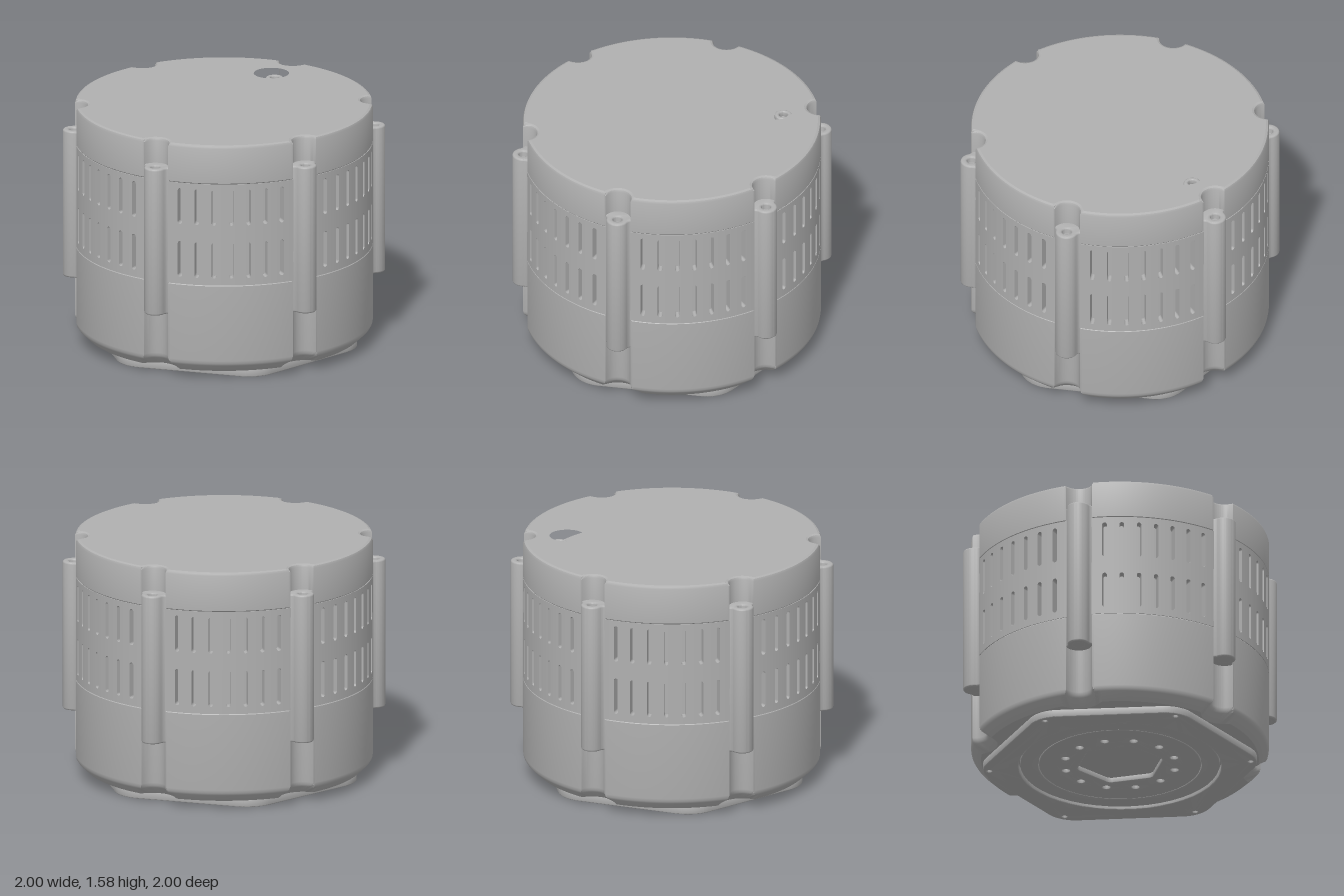
import * as THREE from 'three';
import { toCreasedNormals } from 'three/addons/utils/BufferGeometryUtils.js';

const R = 0.955;            // housing radius
const LOBE_R = 0.963;       // bolt circle radius
const DEG = Math.PI / 180;
const STEP = 60 * DEG;

// Notched housing outline, inset by o, as [x, z] points
function outline(o) {
  const alphas = [];
  for (let a = -30; a < -10; a += 2) alphas.push(a);
  for (let a = -10; a < 10; a += 0.4) alphas.push(a);
  for (let a = 10; a < 30; a += 2) alphas.push(a);
  const pts = [];
  for (let k = 0; k < 6; k++) {
    for (const deg of alphas) {
      const a = deg * DEG, s = LOBE_R * Math.sin(a), rho = 0.085 + o;
      let r = R - o;
      if (Math.abs(s) < rho) {
        const n = LOBE_R * Math.cos(a) - Math.sqrt(rho * rho - s * s);
        const h = Math.max(0.03 - Math.abs(r - n), 0) / 0.03;
        r = Math.min(r, n) - h * h * 0.03 / 4;
      }
      const phi = a + 45 * DEG + k * STEP;
      pts.push(new THREE.Vector2(r * Math.sin(phi), r * Math.cos(phi)));
    }
  }
  return pts;
}

// Housing wall lofted through [inset, y] rows
function wall(rows) {
  const pos = [], idx = [];
  let n = 0;
  rows.forEach(([o, y]) => {
    const pts = outline(o);
    n = pts.length;
    pts.forEach(p => pos.push(p.x, y, p.y));
  });
  for (let j = 0; j < rows.length - 1; j++) {
    for (let i = 0; i < n; i++) {
      const a = j * n + i, b = j * n + (i + 1) % n;
      idx.push(a, b, b + n, a, b + n, a + n);
    }
  }
  const g = new THREE.BufferGeometry();
  g.setAttribute('position', new THREE.Float32BufferAttribute(pos, 3));
  g.setIndex(idx);
  return toCreasedNormals(g, 0.6);
}

// Horizontal slab of an x/z shape between two heights
function slab(shape, y0, y1, bevel = 0) {
  const g = new THREE.ExtrudeGeometry(shape, {
    depth: y1 - y0 - 2 * bevel, bevelEnabled: bevel > 0, bevelThickness: bevel,
    bevelSize: bevel, bevelOffset: -bevel, bevelSegments: 3, curveSegments: 24,
  });
  g.rotateX(Math.PI / 2);
  g.translate(0, y1 - bevel, 0);
  return toCreasedNormals(g, 0.6);
}

const circle = (x, z, r) => new THREE.Path().absarc(x, z, r, 0, Math.PI * 2, true);
const disc = (r) => new THREE.Shape().absarc(0, 0, r, 0, Math.PI * 2, false);

// Hexagon with rounded corners: corner centres at radius a, corner radius r
function roundedHex(Type, a, r, turn) {
  const p = new Type();
  for (let k = 0; k < 6; k++) {
    const t = turn + k * STEP;
    p.absarc(a * Math.cos(t), a * Math.sin(t), r, t - STEP / 2, t + STEP / 2, false);
  }
  p.closePath();
  return p;
}

// One curved cell of the vented band, optionally with its two slots
const CELL = STEP / 9, BAND_LOW = 0.643, BAND_HIGH = 1.322;
function bandCell(slotted) {
  const w = CELL * R, s = new THREE.Shape();
  for (let i = 0; i <= 4; i++) s.lineTo(w * (i / 4 - 0.5), BAND_LOW);
  for (let i = 4; i >= 0; i--) s.lineTo(w * (i / 4 - 0.5), BAND_HIGH);
  if (slotted) {
    for (const [low, high] of [[0.69, 0.93], [1.045, 1.285]]) {
      const h = 0.015;
      s.holes.push(new THREE.Path()
        .absarc(0, high - h, h, 0, Math.PI, false)
        .absarc(0, low + h, h, Math.PI, Math.PI * 2, false));
    }
  }
  s.curves.shift();
  const g = new THREE.ExtrudeGeometry(s, { depth: 0.06, bevelEnabled: false, curveSegments: 6 });
  const p = g.attributes.position, n = g.attributes.normal;
  const up = new THREE.Vector3(0, 1, 0), v = new THREE.Vector3();
  for (let i = 0; i < p.count; i++) {
    const phi = p.getX(i) / R, r = R - 0.06 + p.getZ(i);
    v.fromBufferAttribute(n, i).applyAxisAngle(up, phi);
    n.setXYZ(i, v.x, v.y, v.z);
    p.setXYZ(i, r * Math.sin(phi), p.getY(i), r * Math.cos(phi));
  }
  return g;
}

export function createModel() {
  const group = new THREE.Group();
  const grey = new THREE.MeshStandardMaterial({ color: 0xb0b0b0 });
  grey.name = 'castGrey';
  const add = (name, geometry, turn = 0) => {
    const m = new THREE.Mesh(geometry, grey);
    m.name = name;
    m.rotation.y = turn;
    group.add(m);
    return m;
  };

  // Upper housing with sight pocket in its lid
  add('upperHousing', wall([[0.09, 1.32], [0.007, 1.32], [0, 1.328], [0, 1.56], [0.006, 1.574], [0.02, 1.58]]));
  const lid = new THREE.Shape(outline(0.02));
  lid.holes.push(circle(0.17, -0.65, 0.113));
  add('lid', slab(lid, 1.5, 1.58));
  add('pocketFloor', new THREE.CylinderGeometry(0.12, 0.12, 0.02, 32)).position.set(0.17, 1.495, -0.65);
  const bush = disc(0.055);
  bush.holes.push(circle(0, 0, 0.028));
  add('pocketBush', slab(bush, 1.5, 1.54, 0.008)).position.set(0.18, 0, -0.7);

  // Lower housing with chamfered foot
  add('lowerHousing', wall([[0.065, 0.05], [0.012, 0.1], [0.003, 0.115], [0, 0.135], [0, 0.637], [0.007, 0.645], [0.09, 0.645]]));
  add('lowerFloor', slab(new THREE.Shape(outline(0.065)), 0.05, 0.08));

  // Vented band around an inner core
  const core = add('innerCore', new THREE.CylinderGeometry(0.86, 0.86, 0.8, 96));
  core.position.y = 0.98;
  const vent = bandCell(true), plain = bandCell(false);
  for (let k = 0; k < 6; k++) {
    for (let c = -4; c <= 4; c++) {
      const slotted = Math.abs(c) < 4;
      add(slotted ? 'ventCell' : 'plainCell', slotted ? vent : plain, 15 * DEG + k * STEP + c * CELL);
    }
  }

  // Bolt lobes with flared sides and sunk bolt holes
  const lobe = new THREE.Shape();
  lobe.moveTo(-0.105, 0.865);
  lobe.lineTo(0.105, 0.865);
  lobe.lineTo(0.105, 0.943);
  lobe.quadraticCurveTo(0.078, 0.946, 0.07, 0.972);
  lobe.absarc(0, 0.963, 0.071, 0.13, Math.PI - 0.13, false);
  lobe.quadraticCurveTo(-0.078, 0.946, -0.105, 0.943);
  lobe.closePath();
  lobe.holes.push(circle(0, LOBE_R, 0.03));
  const lobeGeo = slab(lobe, 0.43, 1.412, 0.012);
  const boltGeo = new THREE.CylinderGeometry(0.031, 0.031, 0.9, 20).translate(0, 0.92, LOBE_R);
  const plugGeo = new THREE.CylinderGeometry(0.05, 0.05, 0.03, 20).translate(0, 0.446, LOBE_R);
  for (let k = 0; k < 6; k++) {
    const turn = 45 * DEG + k * STEP;
    add('boltLobe', lobeGeo, turn);
    add('bolt', boltGeo, turn);
    add('lobePlug', plugGeo, turn);
  }

  // Hexagonal mounting plate under the housing
  const turn = 4 * DEG;
  const plate = roundedHex(THREE.Shape, 0.67, 0.21, turn);
  plate.holes.push(circle(0, 0, 0.65));
  for (let k = 0; k < 6; k++) {
    const t = turn + k * STEP;
    plate.holes.push(circle(0.84 * Math.cos(t), 0.84 * Math.sin(t), 0.018));
  }
  add('mountingPlate', slab(plate, 0, 0.052, 0.006));

  // Recessed output flange: outer ring, then drilled hub
  const ring = disc(0.64);
  ring.holes.push(circle(0, 0, 0.525));
  add('flangeRing', slab(ring, 0.016, 0.052, 0.004));
  const hub = disc(0.52);
  hub.holes.push(roundedHex(THREE.Path, 0.23, 0.05, 15 * DEG));
  for (let k = 0; k < 12; k++) {
    const t = (k + 0.5) * STEP / 2;
    hub.holes.push(circle(0.36 * Math.cos(t), 0.36 * Math.sin(t), 0.027));
  }
  add('flangeHub', slab(hub, 0.016, 0.052, 0.004));

  return group;
}
